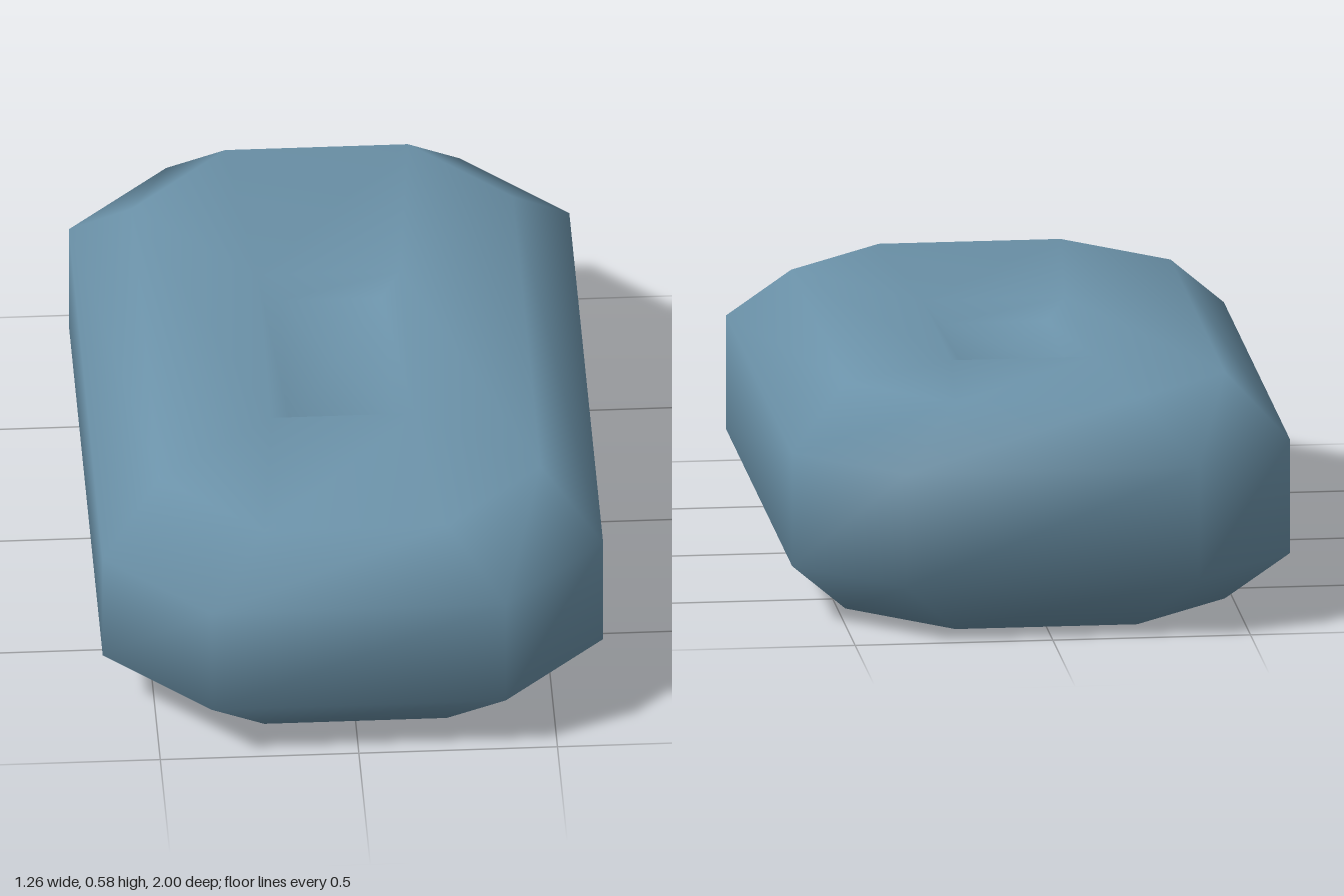
import * as THREE from 'three';
import { mergeVertices } from 'three/addons/utils/BufferGeometryUtils.js';

// Rectangle with cut corners at height y: half width a, half length b, corner cut c
function ring(y, a, b, c) {
  const quarter = [[a, b - c], [a - c, b]];
  const mirrored = quarter.map(([x, z]) => [-x, z]).reverse();
  const front = [...quarter, ...mirrored];
  const back = front.map(([x, z]) => [-x, -z]);
  return [...front, ...back].map(([x, z]) => new THREE.Vector3(x, y, z));
}

// Skin consecutive rings and close both ends, with shared smooth normals
function loft(rings) {
  const points = [];
  const tri = (p, q, r) => {
    if (p.equals(q) || q.equals(r) || r.equals(p)) return;
    points.push(p, q, r);
  };
  const n = rings[0].length;
  const first = rings[0];
  const last = rings[rings.length - 1];
  const bottom = new THREE.Vector3(0, first[0].y, 0);
  const top = new THREE.Vector3(0, last[0].y, 0);
  for (let j = 0; j < n; j++) {
    const k = (j + 1) % n;
    tri(bottom, first[j], first[k]);
    for (let i = 0; i < rings.length - 1; i++) {
      const lower = rings[i], upper = rings[i + 1];
      tri(lower[j], upper[j], lower[k]);
      tri(upper[j], upper[k], lower[k]);
    }
    tri(top, last[k], last[j]);
  }
  const geometry = mergeVertices(new THREE.BufferGeometry().setFromPoints(points));
  geometry.computeVertexNormals();
  return geometry;
}

export function createModel() {
  const group = new THREE.Group();
  group.name = 'soapBar';
  const blue = new THREE.MeshStandardMaterial({ name: 'dusty blue', color: 0x6c93aa });

  // Bevelled bar with a shallow rectangular recess in its top
  const body = new THREE.Mesh(loft([
    ring(0, 0.48, 0.855, 0.25),
    ring(0.146, 0.63, 1, 0.26),
    ring(0.438, 0.63, 1, 0.26),
    ring(0.585, 0.48, 0.855, 0.25),
    ring(0.565, 0.18, 0.32, 0),
    ring(0.515, 0.13, 0.275, 0),
  ]), blue);
  body.name = 'barBody';
  group.add(body);
  return group;
}
